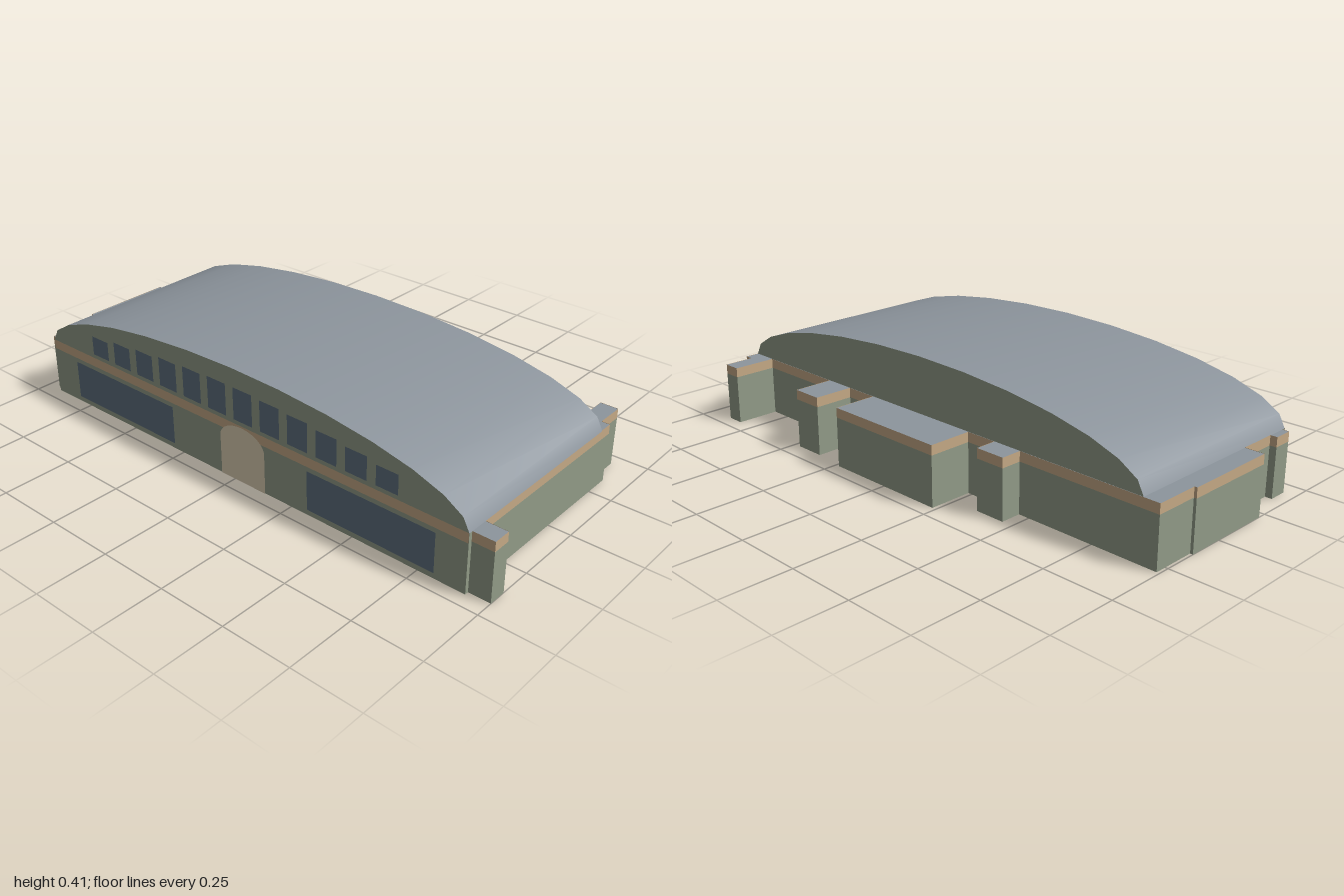
import * as THREE from 'three';
import { mergeGeometries } from 'three/addons/utils/BufferGeometryUtils.js';

const mat = (color) => new THREE.MeshStandardMaterial({ color, side: THREE.DoubleSide });

const WALL_TOP = 0.213, BAND_BOTTOM = 0.178;
const FRONT = 0.449, BACK = -0.287;
const VAULT = { cx: -0.004, rx: 0.926, ry: 0.2, segments: 14 };

// Ground plan as [x, z], running from the front left corner along the back
const PLAN = [
  [0.92, 0.435], [1, 0.435], [1, 0.37], [0.92, 0.37],
  [0.92, -0.34], [0.89, -0.34], [0.89, -0.449], [0.825, -0.449], [0.825, -0.29],
  [0.475, -0.29], [0.475, -0.435], [0.36, -0.435], [0.36, -0.29],
  [0.235, -0.29], [0.235, -0.449], [-0.235, -0.449], [-0.235, -0.29],
  [-0.35, -0.29], [-0.35, -0.365], [-0.46, -0.365], [-0.46, -0.29],
  [-0.99, -0.29], [-0.99, -0.13], [-1, -0.13], [-1, 0.22], [-0.93, 0.22],
  [-0.93, 0.365], [-0.955, 0.365], [-0.955, 0.435],
];

// Upright wall strip following the plan
function planStrip(y0, y1) {
  const panels = PLAN.map(([x0, z0], i) => {
    const [x1, z1] = PLAN[(i + 1) % PLAN.length];
    const g = new THREE.PlaneGeometry(Math.hypot(x1 - x0, z1 - z0), y1 - y0);
    g.rotateY(Math.atan2(z1 - z0, x0 - x1) + (0));
    g.rotateY(Math.PI);
    g.translate((x0 + x1) / 2, (y0 + y1) / 2, (z0 + z1) / 2);
    return g;
  });
  return mergeGeometries(panels);
}

// Points of the elliptical vault, from +x to -x
function vaultPoints() {
  const pts = [];
  for (let i = 0; i <= VAULT.segments; i++) {
    const a = (i / VAULT.segments) * Math.PI;
    pts.push(new THREE.Vector2(VAULT.cx + VAULT.rx * Math.cos(a), 0.212 + VAULT.ry * Math.sin(a)));
  }
  return pts;
}

// Smooth curved roof sheet
function vaultGeometry() {
  const g = new THREE.PlaneGeometry(1, 1, VAULT.segments, 1);
  const pos = g.attributes.position, pts = vaultPoints();
  for (let i = 0; i < pos.count; i++) {
    const p = pts[VAULT.segments - (i % (VAULT.segments + 1))];
    pos.setXYZ(i, p.x, p.y, i > VAULT.segments ? FRONT : BACK);
  }
  g.computeVertexNormals();
  return g;
}

export function createModel() {
  const model = new THREE.Group();
  const green = mat(0x929c88), tan = mat(0xc6aa86), grey = mat(0x8d959d);
  const glass = mat(0x5f7080), cream = mat(0xdccfb3);

  const add = (name, geometry, material, x = 0, y = 0, z = 0, parent = model) => {
    const mesh = new THREE.Mesh(geometry, material);
    mesh.name = name;
    mesh.position.set(x, y, z);
    parent.add(mesh);
    return mesh;
  };

  // Outer walls, cornice band and flat roof
  add('walls', planStrip(0, BAND_BOTTOM), green);
  add('corniceBand', planStrip(BAND_BOTTOM, WALL_TOP), tan);
  const plan = new THREE.Shape(PLAN.map(([x, z]) => new THREE.Vector2(x, -z)));
  add('flatRoof', new THREE.ShapeGeometry(plan).rotateX(-Math.PI / 2), grey, 0, WALL_TOP - 0.001);

  // Vaulted roof with its two end walls
  add('vaultedRoof', vaultGeometry(), grey);
  const gable = new THREE.ShapeGeometry(new THREE.Shape(vaultPoints()));
  add('frontGable', gable, green, 0, 0, FRONT);
  add('backGable', gable.clone().rotateY(Math.PI), green, VAULT.cx * 2, 0, BACK);

  // Front slab below the gable
  const width = VAULT.rx * 2;
  add('facade', new THREE.BoxGeometry(width, 0.212, 0.014), green, VAULT.cx, 0.106, FRONT - 0.007);
  add('facadeBand', new THREE.PlaneGeometry(width, WALL_TOP - BAND_BOTTOM), tan,
    VAULT.cx, (WALL_TOP + BAND_BOTTOM) / 2, FRONT + 0.001);

  // Row of upper windows following the arch
  const upper = new THREE.Group();
  upper.name = 'upperWindows';
  model.add(upper);
  const tops = [0.299, 0.313, 0.324, 0.334, 0.34, 0.345];
  for (let i = 0; i < 12; i++) {
    const h = tops[Math.min(i, 11 - i)] - 0.228;
    add('upperWindow', new THREE.PlaneGeometry(0.083, h), glass,
      -0.658 + i * 0.1172, 0.228 + h / 2, FRONT + 0.0015, upper);
  }

  // Wide ground floor windows
  for (const [x0, x1] of [[-0.805, -0.292], [0.318, 0.81]]) {
    add('groundWindow', new THREE.PlaneGeometry(x1 - x0, 0.142), glass, (x0 + x1) / 2, 0.091, FRONT + 0.0015);
  }

  // Arched entrance
  const door = new THREE.Shape();
  door.moveTo(-0.099, 0);
  door.lineTo(0.099, 0);
  door.lineTo(0.099, 0.147);
  door.absellipse(0, 0.147, 0.099, 0.06, 0, Math.PI, false, 0);
  add('entrance', new THREE.ShapeGeometry(door, 16), cream, 0.038, 0, FRONT + 0.002);

  return model;
}
